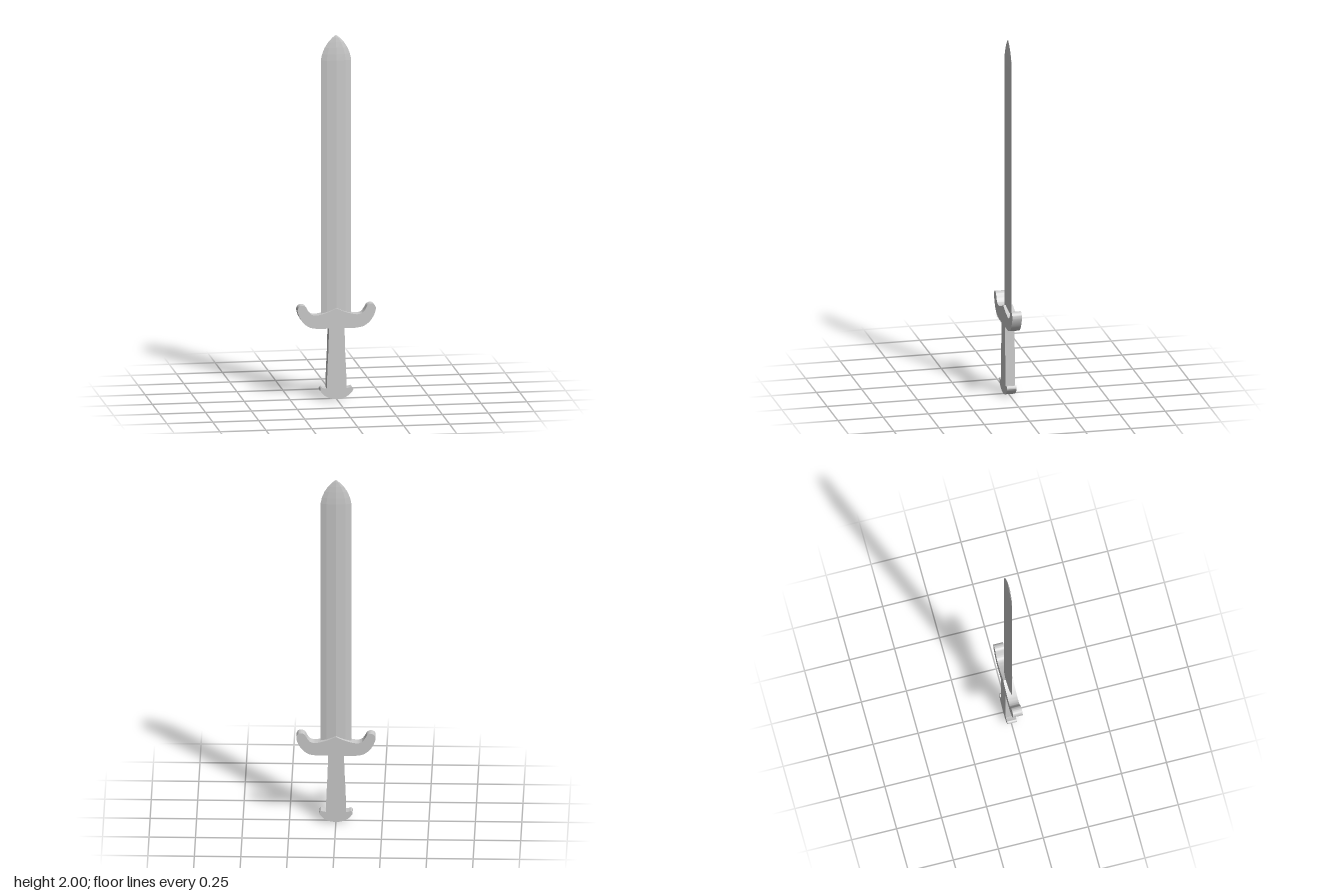
import * as THREE from 'three';
import { toCreasedNormals } from 'three/addons/utils/BufferGeometryUtils.js';

const material = new THREE.MeshStandardMaterial({ color: 0xcccccc });
const bladeMaterial = new THREE.MeshStandardMaterial({ color: 0xcccccc, flatShading: true });

// Flat hilt part: half an outline (axis to axis), mirrored and extruded
function hiltPart(name, half, depth = 0.053) {
  const mirrored = half.slice().reverse().map((p) => new THREE.Vector2(-p.x, p.y));
  const shape = new THREE.Shape([...half, ...mirrored.filter((p) => Math.abs(p.x) > 1e-6)]);
  const geometry = new THREE.ExtrudeGeometry(shape, { depth, bevelEnabled: false });
  geometry.translate(0, 0, -depth / 2);
  const mesh = new THREE.Mesh(toCreasedNormals(geometry, 0.6), material);
  mesh.name = name;
  return mesh;
}

const v = (x, y) => new THREE.Vector2(x, y);
const smooth = (points, n) => new THREE.SplineCurve(points.map((p) => v(...p))).getPoints(n);

// Blade: eight-sided lens section lofted upward to a point
function blade() {
  const rings = [ // height, half width, half thickness
    [0.42, 0.083, 0.013], [1.86, 0.083, 0.013], [1.895, 0.076, 0.0115],
    [1.93, 0.062, 0.009], [1.96, 0.043, 0.006], [1.985, 0.02, 0.003], [2.0, 0, 0],
  ];
  const section = [[1, 0], [0.62, 0.62], [0, 1], [-0.62, 0.62], [-1, 0], [-0.62, -0.62], [0, -1], [0.62, -0.62]];
  const n = section.length;
  const positions = [];
  const index = [];
  for (const [y, w, t] of rings) {
    for (const [x, z] of section) positions.push(x * w, y, z * t);
  }
  for (let r = 0; r < rings.length - 1; r++) {
    for (let i = 0; i < n; i++) {
      const a = r * n + i;
      const b = r * n + (i + 1) % n;
      index.push(a, a + n, b);
      if (r < rings.length - 2) index.push(b, a + n, b + n);
    }
  }
  // Bottom cap, inside the guard
  for (let i = 1; i < n - 1; i++) index.push(0, i, i + 1);
  const geometry = new THREE.BufferGeometry();
  geometry.setAttribute('position', new THREE.Float32BufferAttribute(positions, 3));
  geometry.setIndex(index);
  geometry.computeVertexNormals();
  const mesh = new THREE.Mesh(geometry, bladeMaterial);
  mesh.name = 'blade';
  return mesh;
}

export function createModel() {
  const group = new THREE.Group();
  group.name = 'sword';
  group.add(blade());

  // Guard: flat underside, upturned rounded horns, pointed centre
  group.add(hiltPart('guard', [
    v(0, 0.39),
    ...smooth([[0.1, 0.39], [0.145, 0.398], [0.18, 0.423], [0.203, 0.458], [0.213, 0.492],
      [0.205, 0.514], [0.187, 0.52], [0.168, 0.512], [0.154, 0.488], [0.138, 0.47],
      [0.11, 0.464], [0.07, 0.472], [0.035, 0.484], [0, 0.5]], 52),
  ]));

  // Grip: widens slightly toward the pommel
  group.add(hiltPart('grip', [v(0, 0.06), v(0.054, 0.06), v(0.051, 0.16), v(0.044, 0.3), v(0.043, 0.39), v(0, 0.39)]));

  // Pommel: rounded crescent foot
  group.add(hiltPart('pommel', [
    ...smooth([[0, 0], [0.035, 0.006], [0.065, 0.021], [0.085, 0.042], [0.09, 0.055],
      [0.082, 0.066], [0.068, 0.062], [0.054, 0.06]], 32),
    v(0, 0.06),
  ]));
  return group;
}
